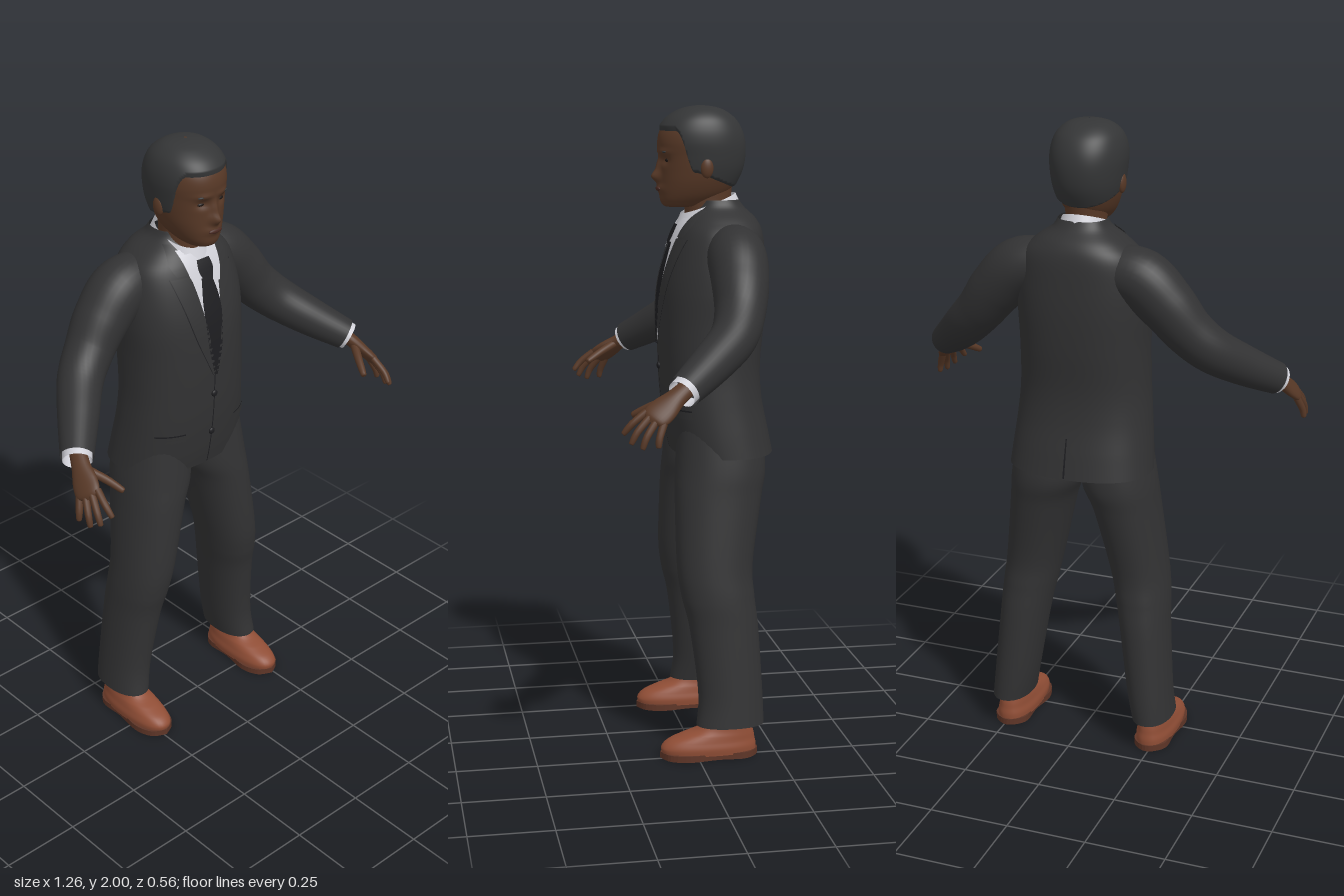
import * as THREE from 'three';
import { ParametricGeometry } from 'three/addons/geometries/ParametricGeometry.js';

const mat = (name, color, side = THREE.FrontSide) => {
  const m = new THREE.MeshStandardMaterial({ color, side });
  m.name = name;
  return m;
};
const { clamp, lerp, smoothstep } = THREE.MathUtils;
const gauss = (d, s) => Math.exp(-((d / s) ** 2));
const spow = (v, p) => Math.sign(v) * Math.abs(v) ** p;

// Smooth interpolation through rows of numbers, t in 0..1
function blend(rows, t) {
  const n = rows.length - 1, i = Math.min(Math.floor(t * n), n - 1), f = t * n - i;
  const [a, b, c, d] = [-1, 0, 1, 2].map(k => rows[clamp(i + k, 0, n)]);
  return b.map((_, k) => b[k] + 0.5 * f * (c[k] - a[k] +
    f * (2 * a[k] - 5 * b[k] + 4 * c[k] - d[k] + f * (3 * (b[k] - c[k]) + d[k] - a[k]))));
}

// Surface from a function (u, v) -> [x, y, z]; side -1 mirrors it in x
function surface(fn, nu, nv, side = 1) {
  return new ParametricGeometry((u, v, out) => {
    const [x, y, z] = fn(side < 0 ? 1 - u : u, v);
    out.set(x * side, y, z);
  }, nu, nv);
}

// Horizontal cross-sections: [y, centreX, halfWidth, frontZ, backZ]
const ring = (keys, p) => (u, v) => {
  const [y, cx, w, f, b] = blend(keys, v), a = u * Math.PI * 2;
  return [cx + w * spow(Math.cos(a), p), y, (f + b) / 2 - (f - b) / 2 * spow(Math.sin(a), p)];
};

// Depth of a sectioned body's front (dir 1) or back (dir -1) at x, y
function depthAt(keys, p, x, y, dir = 1) {
  let lo = 0, hi = 1;
  for (let i = 0; i < 24; i++) {
    const m = (lo + hi) / 2;
    if (blend(keys, m)[0] < y) lo = m; else hi = m;
  }
  const [, cx, w, f, b] = blend(keys, lo);
  const c = Math.min(Math.abs(x - cx) / w, 1) ** (1 / p);
  return (f + b) / 2 + dir * (f - b) / 2 * Math.sqrt(1 - c * c) ** p;
}

// Tube along [x, y, z, radiusA, radiusB], with radiusA lying along ref
function sweep(keys, ref, nu, nv, side) {
  const at = t => new THREE.Vector3(...blend(keys, t).slice(0, 3));
  return surface((u, v) => {
    const T = at(Math.min(v + 0.01, 1)).sub(at(Math.max(v - 0.01, 0))).normalize();
    const A = ref.clone().addScaledVector(T, -ref.dot(T)).normalize();
    const B = T.clone().cross(A), k = blend(keys, v), a = u * Math.PI * 2;
    return at(v).addScaledVector(A, Math.cos(a) * k[3])
      .addScaledVector(B, Math.sin(a) * (k[4] ?? k[3])).toArray();
  }, nu, nv, side);
}

const TORSO = [
  [0.935, 0, 0.226, 0.04, -0.275], [1.0, 0, 0.22, 0.054, -0.262], [1.1, 0, 0.21, 0.068, -0.242],
  [1.2, 0, 0.202, 0.075, -0.236], [1.33, 0, 0.2, 0.077, -0.247], [1.44, 0, 0.204, 0.07, -0.252],
  [1.53, 0, 0.2, 0.05, -0.25], [1.61, 0, 0.182, 0.022, -0.243], [1.655, 0, 0.14, -0.002, -0.225],
  [1.69, 0, 0.09, -0.03, -0.19], [1.715, 0, 0.074, -0.04, -0.172]];
const LEG = [
  [0.1, 0.242, 0.063, 0.0, -0.212], [0.2, 0.228, 0.068, -0.008, -0.21], [0.4, 0.205, 0.076, 0.015, -0.2],
  [0.5, 0.192, 0.083, 0.038, -0.19], [0.6, 0.176, 0.088, 0.05, -0.187], [0.8, 0.14, 0.1, 0.05, -0.22],
  [0.9, 0.116, 0.113, 0.045, -0.237], [1.05, 0.105, 0.1, 0.03, -0.22]];
const SHOE = [
  [0.015, 0.242, 0.06, 0.11, -0.187], [0.035, 0.242, 0.061, 0.112, -0.187], [0.055, 0.242, 0.056, 0.092, -0.183],
  [0.072, 0.242, 0.052, 0.05, -0.18], [0.09, 0.242, 0.047, 0.0, -0.175], [0.125, 0.242, 0.042, -0.04, -0.165]];
const HEAD = [
  [1.692, 0, 0.004, 0.03, 0.02], [1.695, 0, 0.04, 0.058, -0.05], [1.71, 0, 0.058, 0.07, -0.1],
  [1.735, 0, 0.075, 0.073, -0.138], [1.77, 0, 0.089, 0.073, -0.16], [1.81, 0, 0.098, 0.073, -0.178],
  [1.85, 0, 0.103, 0.075, -0.185], [1.89, 0, 0.106, 0.079, -0.184], [1.925, 0, 0.102, 0.071, -0.174],
  [1.955, 0, 0.09, 0.05, -0.155], [1.977, 0, 0.068, 0.018, -0.126], [1.988, 0, 0.042, -0.014, -0.096],
  [1.993, 0, 0.004, -0.048, -0.056]];

// Head surface with brow, nose, lips and eye sockets
const skull = ring(HEAD, 0.93);
function head(u, v) {
  let [x, y, z] = skull(u, v);
  const ax = Math.abs(x);
  if (z > -0.02) z += smoothstep(z, -0.02, 0.04) * (
    0.024 * gauss(x, 0.017) * gauss(y - 1.785, 0.018) + 0.011 * gauss(x, 0.012) * gauss(y - 1.815, 0.026) +
    0.009 * gauss(x, 0.028) * gauss(y - 1.75, 0.014) + 0.005 * gauss(ax - 0.036, 0.03) * gauss(y - 1.862, 0.01) -
    0.009 * gauss(ax - 0.036, 0.02) * gauss(y - 1.837, 0.014));
  return [x, y, z];
}
// Hair stands above the skull behind the hairline and sinks below it elsewhere
function hair(u, v) {
  const [x, y, z] = head(u, v);
  const nape = clamp(1.8 + (z + 0.03) * 0.4, 1.74, 1.8);
  const line = lerp(nape, 1.925, smoothstep(z, -0.02, 0.035));
  const d = new THREE.Vector3(x, y - 1.87, z + 0.05).normalize()
    .multiplyScalar(clamp((y - line) * 0.7, -0.012, 0.008));
  return [x + d.x, y + d.y, z + d.z];
}

export function createModel() {
  const model = new THREE.Group();
  model.name = 'manInSuit';
  const D = THREE.DoubleSide;
  const suit = mat('charcoal suit', 0x323233, D), dark = mat('black cloth', 0x1d1d20, D);
  const shirt = mat('white shirt', 0xcfcfd6, D), skin = mat('brown skin', 0x573826);
  const lip = mat('lip', 0x4a2a22), hairMat = mat('black hair', 0x343536);
  const shoe = mat('brown leather', 0x8f4d35), soleMat = mat('dark sole', 0x5e3527);
  const eyeMat = mat('dark eye', 0x1c1512);

  const add = (name, geometry, material) => {
    const mesh = new THREE.Mesh(geometry, material);
    mesh.name = name;
    model.add(mesh);
    return mesh;
  };
  // Thin cloth lying on the jacket: rows of [y, x0, x1], bottom to top
  const plate = (name, rows, off, material, side = 1, dir = 1) =>
    add(name, surface((u, v) => {
      const [y, x0, x1] = blend(rows, v), x = lerp(x0, x1, u);
      return [x, y, depthAt(TORSO, 0.85, x, y, dir) + off * dir];
    }, 6, 20, side), material);
  const blob = (name, material, pos, size) => {
    const g = new THREE.SphereGeometry(1, 20, 14);
    add(name, g.scale(...size).translate(...pos), material);
  };

  // Jacket body, shirt front and tie
  add('jacket', surface(ring(TORSO, 0.85), 64, 48), suit);
  plate('shirtFront', [[1.28, -0.004, 0.004], [1.45, -0.03, 0.03], [1.58, -0.05, 0.05], [1.67, -0.075, 0.075]], 0.004, shirt);
  plate('tie', [[1.27, -0.006, 0.006], [1.38, -0.028, 0.028], [1.5, -0.034, 0.034], [1.585, -0.02, 0.02]], 0.009, dark);
  plate('tieKnot', [[1.58, -0.017, 0.017], [1.61, -0.028, 0.028], [1.64, -0.024, 0.024]], 0.016, dark);
  plate('frontSeam', [[0.94, -0.002, 0.002], [1.27, -0.002, 0.002]], 0.003, dark);
  plate('backVent', [[0.94, 0.004, -0.002], [1.06, 0.002, -0.002]], 0.003, dark, 1, -1);
  for (const y of [1.06, 1.2]) {
    const z = depthAt(TORSO, 0.85, 0, y);
    blob('button', dark, [0, y, z + 0.003], [0.011, 0.011, 0.006]);
  }

  // Shirt collar, higher at the nape than at the throat
  add('shirtCollar', surface((u, v) => {
    const a = u * Math.PI * 2, s = -Math.sin(a), k = (s + 1) / 2;
    return [lerp(0.09, 0.07, v) * Math.cos(a),
      lerp(lerp(1.69, 1.61, k), lerp(1.735, 1.672, k), v),
      lerp(lerp(-0.185, 0.032, k), lerp(-0.163, 0.008, k), v)];
  }, 40, 4), shirt);

  // Neck, head and hair
  add('neck', surface(ring([[1.6, 0, 0.07, -0.005, -0.15], [1.7, 0, 0.062, -0.005, -0.148],
    [1.78, 0, 0.066, 0.0, -0.155]], 1), 32, 8), skin);
  add('head', surface(head, 112, 84), skin);
  add('hair', surface(hair, 112, 84), hairMat);
  blob('mouth', lip, [0, 1.749, 0.078], [0.025, 0.008, 0.007]);

  const across = new THREE.Vector3(0.03, -0.025, -0.06), up = new THREE.Vector3(0, 1, 0);
  for (const s of [1, -1]) {
    // Face details
    blob('ear', skin, [s * 0.104, 1.815, -0.055], [0.012, 0.031, 0.02]);
    blob('eye', eyeMat, [s * 0.036, 1.836, 0.055], [0.014, 0.006, 0.007]);
    blob('eyebrow', hairMat, [s * 0.037, 1.862, 0.066], [0.02, 0.004, 0.007]);

    // Lapel, collar point and pocket flap
    plate('lapel', [[1.27, 0.0, 0.008], [1.4, 0.022, 0.064], [1.52, 0.042, 0.098], [1.6, 0.056, 0.118]], 0.009, suit, s);
    plate('jacketCollar', [[1.605, 0.058, 0.098], [1.64, 0.066, 0.108], [1.685, 0.074, 0.088]], 0.009, suit, s);
    plate('lapelEdge', [[1.27, 0.008, 0.01], [1.4, 0.064, 0.067], [1.52, 0.098, 0.101], [1.6, 0.118, 0.121]], 0.005, dark, s);
    plate('collarPoint', [[1.565, 0.04, 0.046], [1.6, 0.025, 0.06], [1.66, 0.012, 0.07]], 0.012, shirt, s);
    plate('pocketFlap', [[1.055, 0.1, 0.186], [1.078, 0.1, 0.184]], 0.006, suit, s);
    plate('pocketSlit', [[1.078, 0.1, 0.184], [1.083, 0.1, 0.184]], 0.004, dark, s);

    // Sleeve and shirt cuff
    add('sleeve', sweep([
      [0.08, 1.57, -0.13, 0.075], [0.19, 1.552, -0.13, 0.09], [0.27, 1.48, -0.125, 0.086],
      [0.335, 1.4, -0.11, 0.076], [0.4, 1.335, -0.075, 0.07], [0.475, 1.272, 0.005, 0.062],
      [0.555, 1.212, 0.095, 0.05]], up, 32, 40, s), suit);
    add('cuff', sweep([[0.54, 1.224, 0.078, 0.044], [0.562, 1.205, 0.105, 0.044]], up, 28, 2, s), shirt);

    // Hand: flat palm, four fingers and a thumb
    add('palm', sweep([
      [0.54, 1.224, 0.078, 0.027, 0.022], [0.562, 1.195, 0.12, 0.03, 0.021], [0.58, 1.165, 0.16, 0.041, 0.018],
      [0.593, 1.143, 0.19, 0.038, 0.014], [0.599, 1.133, 0.202, 0.012, 0.004]], across, 24, 20, s), skin);
    const fingers = [
      [[0.574, 1.16, 0.208], [0.579, 1.128, 0.25], [0.576, 1.1, 0.274]],
      [[0.587, 1.149, 0.198], [0.601, 1.108, 0.238], [0.604, 1.076, 0.256]],
      [[0.597, 1.14, 0.181], [0.614, 1.096, 0.213], [0.618, 1.063, 0.226]],
      [[0.603, 1.133, 0.162], [0.619, 1.092, 0.178], [0.624, 1.066, 0.182]],
      [[0.555, 1.188, 0.14], [0.525, 1.165, 0.19], [0.502, 1.14, 0.234]]];
    fingers.forEach(([a, b, c], i) => {
      const r = i === 4 ? 0.0125 : 0.0105;
      const end = c.map((n, k) => n + (n - b[k]) * 0.06);
      add(i === 4 ? 'thumb' : 'finger', sweep([
        [...a, r * 1.1], [...b, r], [...c, r * 0.75], [...end, 0.002]], across, 12, 12, s), skin);
    });

    // Trouser leg and shoe
    add('trouserLeg', surface(ring(LEG, 0.92), 40, 40, s), suit);
    add('shoe', surface(ring(SHOE, 0.85), 40, 20, s), shoe);
    const outline = [[0.242, 0.116], [0.286, 0.09], [0.306, 0.03], [0.296, -0.06], [0.295, -0.15],
      [0.242, -0.192], [0.19, -0.15], [0.19, -0.06], [0.178, 0.03], [0.198, 0.09], [0.242, 0.116]];
    const shape = new THREE.Shape(new THREE.SplineCurve(
      outline.map(([x, z]) => new THREE.Vector2(s * x, z))).getPoints(50));
    const sole = new THREE.ExtrudeGeometry(shape, { depth: 0.02, bevelEnabled: false });
    add('sole', sole.rotateX(Math.PI / 2).translate(0, 0.02, 0), soleMat);
  }
  return model;
}
